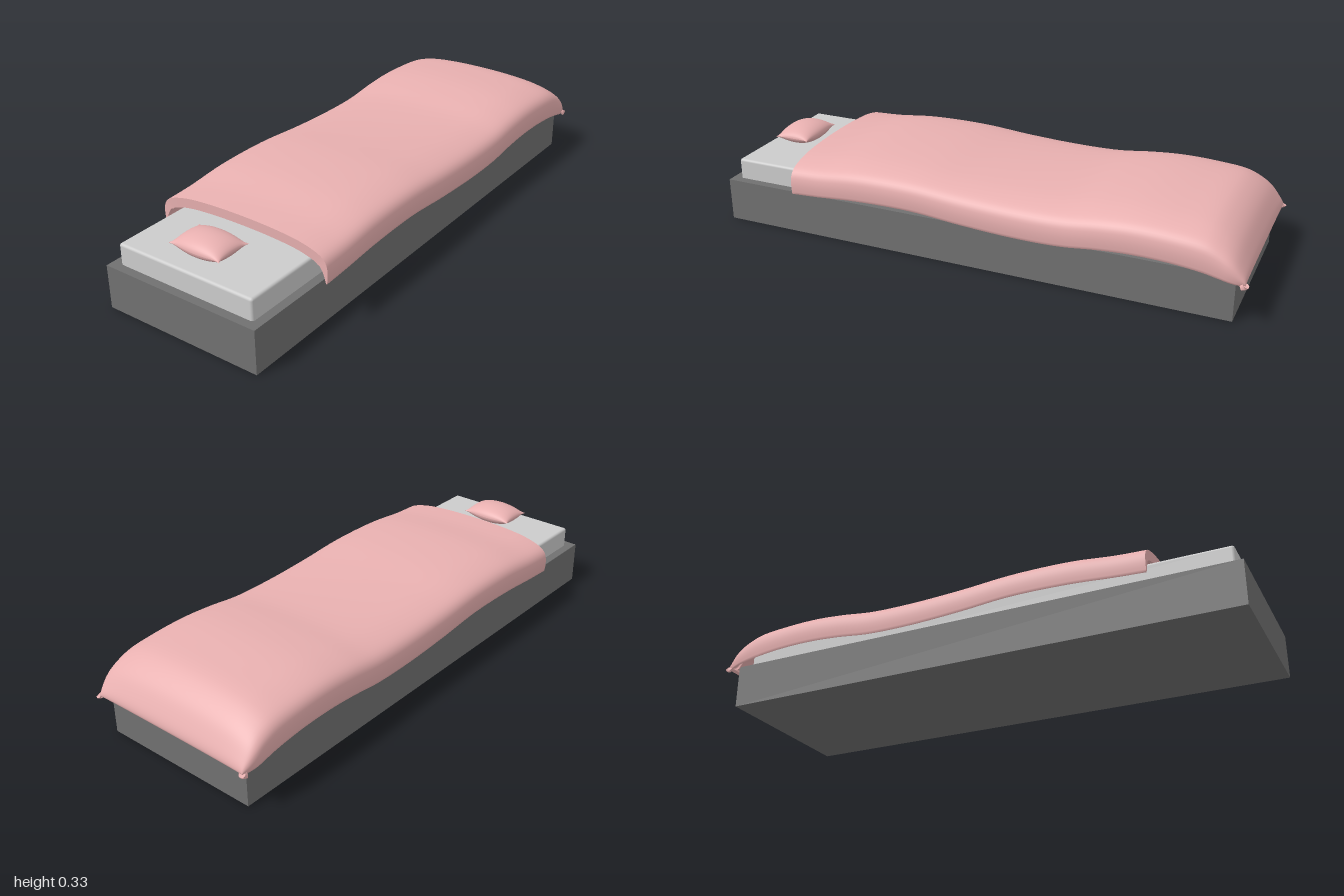
import * as THREE from 'three';
import { RoundedBoxGeometry } from 'three/addons/geometries/RoundedBoxGeometry.js';

const V = (x, y, z) => new THREE.Vector3(x, y, z);
const mat = (color) => new THREE.MeshStandardMaterial({ color });

function addMesh(group, name, geometry, material, x = 0, y = 0, z = 0) {
  const mesh = new THREE.Mesh(geometry, material);
  mesh.name = name;
  mesh.position.set(x, y, z);
  group.add(mesh);
}

// Closed cloth solid between an upper and a lower grid; rows run from front (+z) to back, points from -x to +x
function clothSolid(upper, lower) {
  const rows = upper.length, n = upper[0].length, m = 2 * n;
  const pos = [], idx = [];
  const quad = (a, b, c, d) => idx.push(a, b, c, b, d, c);
  for (let i = 0; i < rows; i++) {
    for (const p of [...upper[i], ...[...lower[i]].reverse()]) pos.push(p.x, p.y, p.z);
  }
  for (let i = 0; i < rows - 1; i++) {
    for (let j = 0; j < m; j++) {
      const k = (j + 1) % m;
      quad(i * m + j, i * m + k, (i + 1) * m + j, (i + 1) * m + k);
    }
  }
  // End strips with their own vertices, so the hem edges stay crisp
  for (const i of [0, rows - 1]) {
    const start = pos.length / 3;
    for (let j = 0; j < n; j++) {
      for (const p of [upper[i][j], lower[i][j]]) pos.push(p.x, p.y, p.z);
    }
    for (let j = 0; j < n - 1; j++) {
      const a = start + 2 * j;
      if (i === 0) quad(a, a + 1, a + 2, a + 3);
      else quad(a, a + 2, a + 1, a + 3);
    }
  }
  const g = new THREE.BufferGeometry();
  g.setAttribute('position', new THREE.Float32BufferAttribute(pos, 3));
  g.setIndex(idx);
  g.computeVertexNormals();
  return g;
}

function blanketGeometry() {
  // Spine: (z, height of the middle, height of the side hem)
  const spine = new THREE.CatmullRomCurve3([
    [0.69, 0.307, 0.172], [0.58, 0.312, 0.178], [0.42, 0.329, 0.19], [0.2, 0.33, 0.193],
    [0, 0.316, 0.177], [-0.2, 0.308, 0.167], [-0.37, 0.31, 0.169], [-0.5, 0.325, 0.183],
    [-0.62, 0.333, 0.19], [-0.75, 0.329, 0.187], [-0.86, 0.317, 0.175], [-0.91, 0.294, 0.165],
    [-0.95, 0.26, 0.156], [-0.98, 0.215, 0.15], [-0.998, 0.175, 0.147], [-0.998, 0.155, 0.144],
    [-0.985, 0.142, 0.141],
  ].map((p) => V(...p)));
  // Half cross-section: (x, share of the drop from middle to hem), mirrored
  const half = [[0.12, 0.02], [0.22, 0.08], [0.28, 0.17], [0.32, 0.28], [0.341, 0.42],
    [0.349, 0.6], [0.35, 0.8], [0.347, 1]];
  const section = new THREE.CatmullRomCurve3([
    ...half.map(([x, d]) => V(-x, d, 0)).reverse(), V(0, 0, 0), ...half.map(([x, d]) => V(x, d, 0)),
  ]);
  const across = section.getPoints(48);
  const upper = spine.getPoints(96).map((s) => {
    const t = THREE.MathUtils.clamp((-s.x - 0.93) / 0.07, 0, 1);
    const width = 1 - 0.05 * t * t;
    return across.map((p) => V(p.x * width, s.y + (s.z - s.y) * p.y, s.x));
  });
  // Lower side: offset along the surface normal, thinning towards the hems
  const R = upper.length - 1, C = across.length - 1;
  const lower = upper.map((row, i) => row.map((p, j) => {
    const du = row[Math.min(j + 1, C)].clone().sub(row[Math.max(j - 1, 0)]);
    const dv = upper[Math.min(i + 1, R)][j].clone().sub(upper[Math.max(i - 1, 0)][j]);
    const side = Math.min(1, (1 - across[j].y) / 0.6);
    const back = Math.min(1, (R - i) / 14);
    const thickness = 0.004 + 0.032 * side * (0.2 + 0.8 * back);
    return p.clone().addScaledVector(du.cross(dv).normalize(), -thickness);
  }));
  return clothSolid(upper, lower);
}

function pillowGeometry() {
  const N = 24;
  const steps = Array.from({ length: N + 1 }, (_, i) => Math.sin((i / N - 0.5) * Math.PI));
  const grid = (sign) => steps.map((v0) => steps.map((u) => {
    const v = -v0;
    const puff = Math.sqrt(Math.max(0, (1 - u * u) * (1 - v * v)));
    // Sides bow out a little and the corners end in small points
    const tip = Math.pow(Math.abs(u * v), 10);
    return V(u * (0.099 + 0.008 * tip), sign * 0.038 * puff, v * (0.075 - 0.012 * u * u + 0.008 * tip));
  }));
  return clothSolid(grid(1), grid(-1));
}

export function createModel() {
  const group = new THREE.Group();
  group.name = 'bed';
  const pink = mat(0xe8b0b0);

  addMesh(group, 'bedBase', new THREE.BoxGeometry(0.626, 0.163, 1.965), mat(0x707070), 0, 0.0815, 0.0175);
  addMesh(group, 'mattress', new RoundedBoxGeometry(0.56, 0.1, 1.9, 3, 0.01), mat(0xcccccc), 0, 0.192, 0.018);
  addMesh(group, 'blanket', blanketGeometry(), pink);
  addMesh(group, 'pillow', pillowGeometry(), pink, 0, 0.279, 0.845);
  return group;
}
